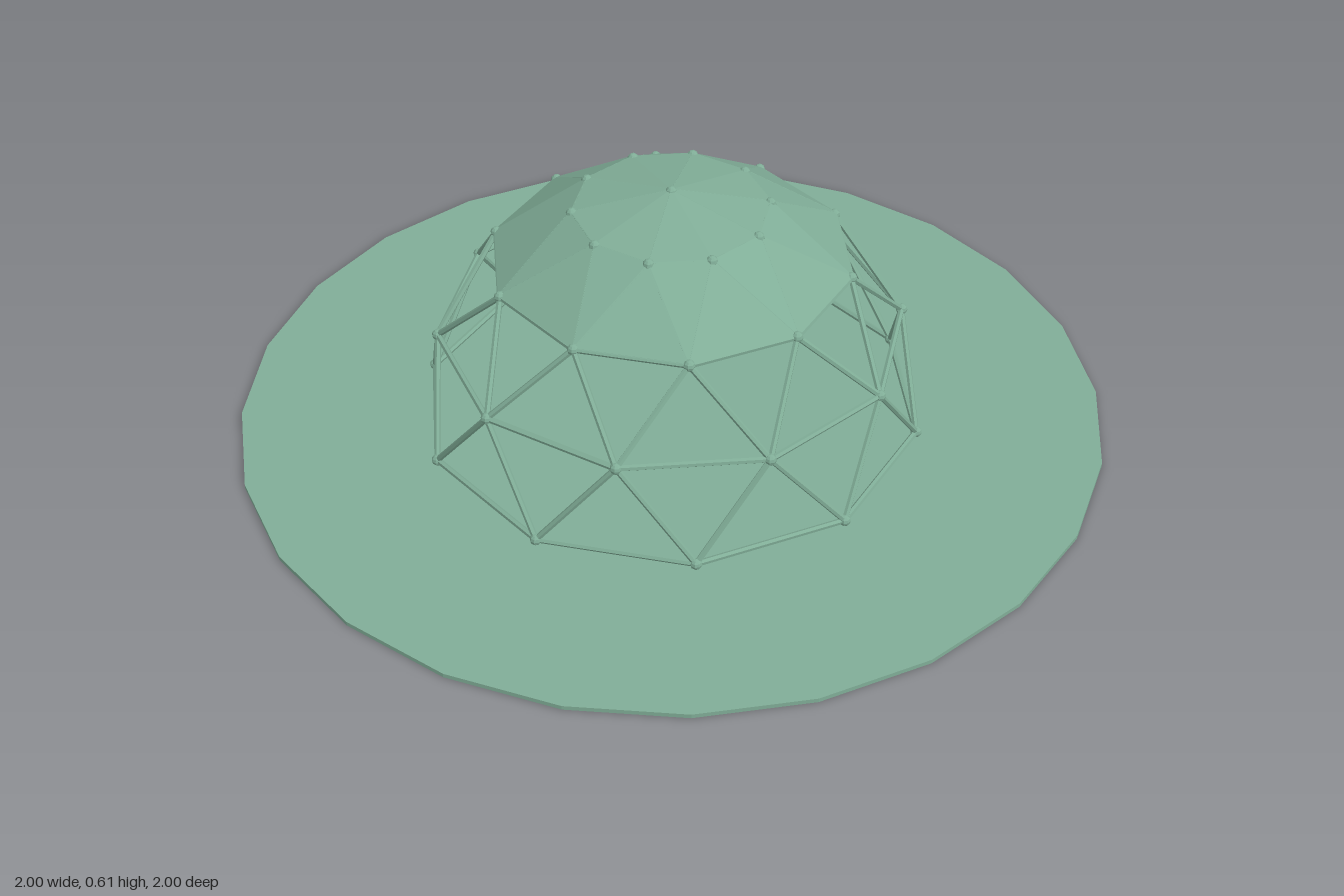
import * as THREE from 'three';

const RADIUS = 0.575, CENTRE_Y = 0.025, SIDES = 10, RINGS = 4;

// Node on the dome: ring 0 is the apex, ring 4 the base; odd rings are turned by half a step
function node(ring, i, scale = 1) {
  const polar = (ring / RINGS) * Math.PI / 2;
  const turn = ((i + (ring % 2) / 2) / SIDES) * Math.PI * 2;
  const r = RADIUS * scale;
  return new THREE.Vector3(
    r * Math.sin(polar) * Math.cos(turn),
    CENTRE_Y + r * Math.cos(polar),
    r * Math.sin(polar) * Math.sin(turn)
  );
}

export function createModel() {
  const model = new THREE.Group();
  const sageGreen = new THREE.MeshStandardMaterial({ color: 0x80ad97, flatShading: true, side: THREE.DoubleSide });

  const add = (parent, name, geometry) => {
    const mesh = new THREE.Mesh(geometry, sageGreen);
    mesh.name = name;
    parent.add(mesh);
    return mesh;
  };
  const group = (name) => {
    const g = new THREE.Group();
    g.name = name;
    model.add(g);
    return g;
  };

  // Ground disc
  add(model, 'ground', new THREE.CylinderGeometry(1, 1, 0.01, 24)).position.y = 0.005;

  const struts = group('struts'), joints = group('joints');
  const up = new THREE.Vector3(0, 1, 0);
  const strut = (a, b) => {
    const dir = b.clone().sub(a);
    const mesh = add(struts, 'strut', new THREE.CylinderGeometry(0.007, 0.007, dir.length(), 6));
    mesh.position.copy(a).lerp(b, 0.5);
    mesh.quaternion.setFromUnitVectors(up, dir.normalize());
  };
  const ballGeometry = new THREE.SphereGeometry(0.0135, 8, 6);
  const joint = (p) => add(joints, 'joint', ballGeometry).position.copy(p);

  // Frame: rings joined by zigzag struts, with a fan at the apex
  joint(node(0, 0));
  for (let ring = 1; ring <= RINGS; ring++) {
    for (let i = 0; i < SIDES; i++) {
      const p = node(ring, i);
      joint(p);
      strut(p, node(ring, i + 1));
      if (ring === 1) {
        strut(p, node(0, 0));
      } else {
        const shift = ring % 2 ? 1 : -1;
        strut(p, node(ring - 1, i));
        strut(p, node(ring - 1, i + shift));
      }
    }
  }

  // Roof cover: triangular panels over the two upper bands, just outside the frame
  const corners = [];
  const q = (ring, i) => node(ring, i, 1.012);
  const panel = (a, b, c) => corners.push(...a.toArray(), ...b.toArray(), ...c.toArray());
  for (let i = 0; i < SIDES; i++) {
    panel(q(0, 0), q(1, i + 1), q(1, i));
    panel(q(1, i), q(2, i + 1), q(2, i));
    panel(q(1, i), q(1, i + 1), q(2, i + 1));
  }
  const roof = new THREE.BufferGeometry();
  roof.setAttribute('position', new THREE.Float32BufferAttribute(corners, 3));
  roof.computeVertexNormals();
  add(model, 'roofPanels', roof);

  return model;
}
